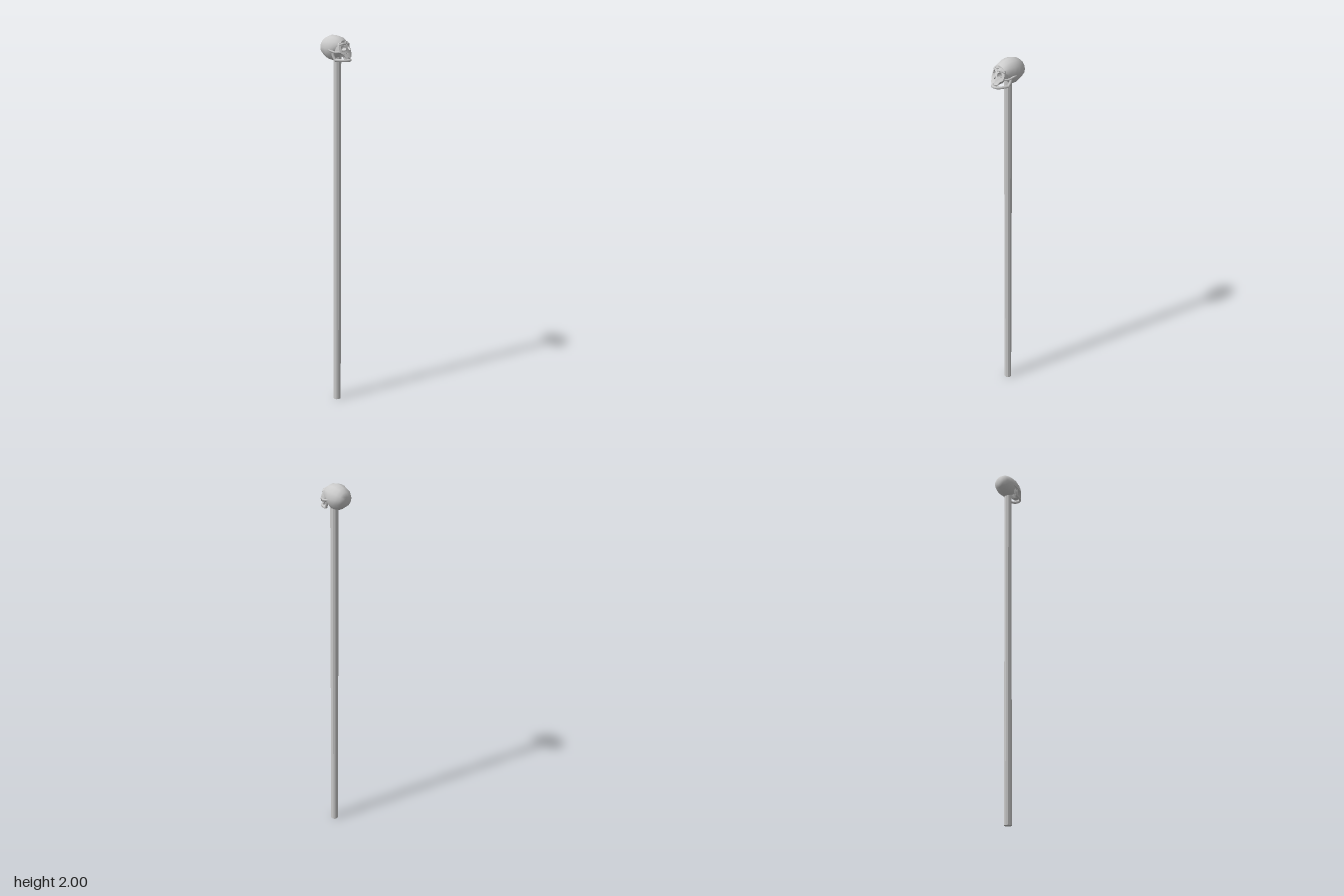
import * as THREE from 'three';
import { toCreasedNormals } from 'three/addons/utils/BufferGeometryUtils.js';

const bone = new THREE.MeshStandardMaterial({ color: 0xcccccc, side: THREE.DoubleSide });

function add(parent, name, geometry) {
  const mesh = new THREE.Mesh(geometry, bone);
  mesh.name = name;
  parent.add(mesh);
  return mesh;
}

// Skin of elliptical rings [x, centreY, halfHeight, halfWidth] along x, closed at both ends
function loftX(rings, sides) {
  const pos = [], idx = [];
  for (const [x, yc, ry, rz] of rings) {
    for (let i = 0; i < sides; i++) {
      const a = (i / sides) * Math.PI * 2;
      pos.push(x, yc + Math.cos(a) * ry, Math.sin(a) * rz);
    }
  }
  for (let r = 0; r < rings.length - 1; r++) {
    for (let i = 0; i < sides; i++) {
      const j = (i + 1) % sides, a = r * sides + i, b = r * sides + j;
      idx.push(a, b, a + sides, b, b + sides, a + sides);
    }
  }
  const last = (rings.length - 1) * sides;
  for (let i = 1; i < sides - 1; i++) {
    idx.push(0, i + 1, i, last, last + i, last + i + 1);
  }
  const g = new THREE.BufferGeometry();
  g.setAttribute('position', new THREE.Float32BufferAttribute(pos, 3));
  g.setIndex(idx);
  return toCreasedNormals(g, 0.75);
}

// Forward position of the face surface at height y and sideways offset z
const faceX = (y, z) => 0.058 + (1.957 - y) * 0.4 - 9 * z * z;

// Face plate with eye and nose openings, curved round the front of the head
function faceGeometry() {
  const half = [[0, 1.967], [0.02, 1.972], [0.036, 1.962], [0.042, 1.942], [0.042, 1.92],
    [0.03, 1.911], [0.023, 1.898], [0.012, 1.896], [0, 1.896]];
  const points = [...half, ...half.slice(1, -1).reverse().map(([z, y]) => [-z, y])];
  const shape = new THREE.Shape(points.map(([z, y]) => new THREE.Vector2(z, y)));
  for (const s of [-1, 1]) {
    const eye = new THREE.Path();
    eye.absellipse(s * 0.02, 1.941, 0.0125, 0.0125, 0, Math.PI * 2);
    shape.holes.push(eye);
  }
  shape.holes.push(new THREE.Path([[0, 1.931], [0.007, 1.916], [-0.007, 1.916]]
    .map(([z, y]) => new THREE.Vector2(z, y))));
  const depth = 0.03;
  const g = new THREE.ExtrudeGeometry(shape, { depth, bevelEnabled: false, curveSegments: 5 });
  const p = g.attributes.position;
  for (let i = 0; i < p.count; i++) {
    const z = p.getX(i), y = p.getY(i), back = depth - p.getZ(i);
    p.setXYZ(i, faceX(y, z) - back, y, -z);
  }
  return toCreasedNormals(g, 0.6);
}

function tube(points, radius, segments) {
  const curve = new THREE.CatmullRomCurve3(points.map((p) => new THREE.Vector3(...p)));
  return new THREE.TubeGeometry(curve, segments, radius, 6, false);
}

export function createModel() {
  const model = new THREE.Group();
  model.name = 'skullOnPole';

  // Pole running up into the base of the skull
  const poleGeometry = new THREE.CylinderGeometry(0.02, 0.02, 1.91, 10);
  const pole = add(model, 'pole', toCreasedNormals(poleGeometry, 0.5));
  pole.position.set(-0.003, 0.955, -0.005);

  // Skull looks along +x, turned slightly
  const skull = new THREE.Group();
  skull.name = 'skull';
  skull.rotation.y = 0.1;
  model.add(skull);

  add(skull, 'cranium', loftX([
    [-0.088, 1.938, 0.016, 0.018],
    [-0.079, 1.939, 0.036, 0.036],
    [-0.06, 1.94, 0.05, 0.047],
    [-0.034, 1.938, 0.061, 0.054],
    [-0.008, 1.938, 0.062, 0.055],
    [0.018, 1.945, 0.049, 0.049],
    [0.036, 1.949, 0.034, 0.041],
    [0.043, 1.952, 0.024, 0.034],
  ], 12));

  add(skull, 'face', faceGeometry());

  for (const s of [-1, 1]) {
    const side = s > 0 ? 'left' : 'right';
    // Brow ridge over the eye
    add(skull, side + 'Brow', tube([
      [0.059, 1.959, s * 0.004], [0.056, 1.961, s * 0.02], [0.043, 1.953, s * 0.037],
    ], 0.005, 5));
    // Cheek arch back to the ear
    add(skull, side + 'CheekArch', tube([
      [0.053, 1.922, s * 0.037], [0.032, 1.92, s * 0.047], [0.008, 1.925, s * 0.05],
      [-0.012, 1.93, s * 0.051],
    ], 0.005, 6));
    // Rising branch of the jaw
    add(skull, side + 'JawBranch', tube([
      [0.008, 1.916, s * 0.042], [0.012, 1.9, s * 0.041], [0.021, 1.883, s * 0.038],
    ], 0.007, 4));
  }

  // Horseshoe lower jaw
  const arch = [[0.021, 0.038], [0.05, 0.031], [0.07, 0.021], [0.078, 0.008]];
  const jawPath = [...arch, ...arch.map(([x, z]) => [x, -z]).reverse()];
  add(skull, 'lowerJaw', tube(jawPath.map(([x, z]) => [x, 1.881, z]), 0.007, 16));

  // Two rows of teeth
  for (const [name, y, reach] of [['upperTeeth', 1.8955, 0.078], ['lowerTeeth', 1.8885, 0.076]]) {
    const row = new THREE.Group();
    row.name = name;
    for (let i = -3; i <= 3; i++) {
      const z = i * 0.0058;
      const tooth = add(row, 'tooth', new THREE.BoxGeometry(0.006, 0.007, 0.005));
      tooth.position.set(reach - 26 * z * z, y, z);
      tooth.rotation.y = -i * 0.24;
    }
    skull.add(row);
  }
  return model;
}
